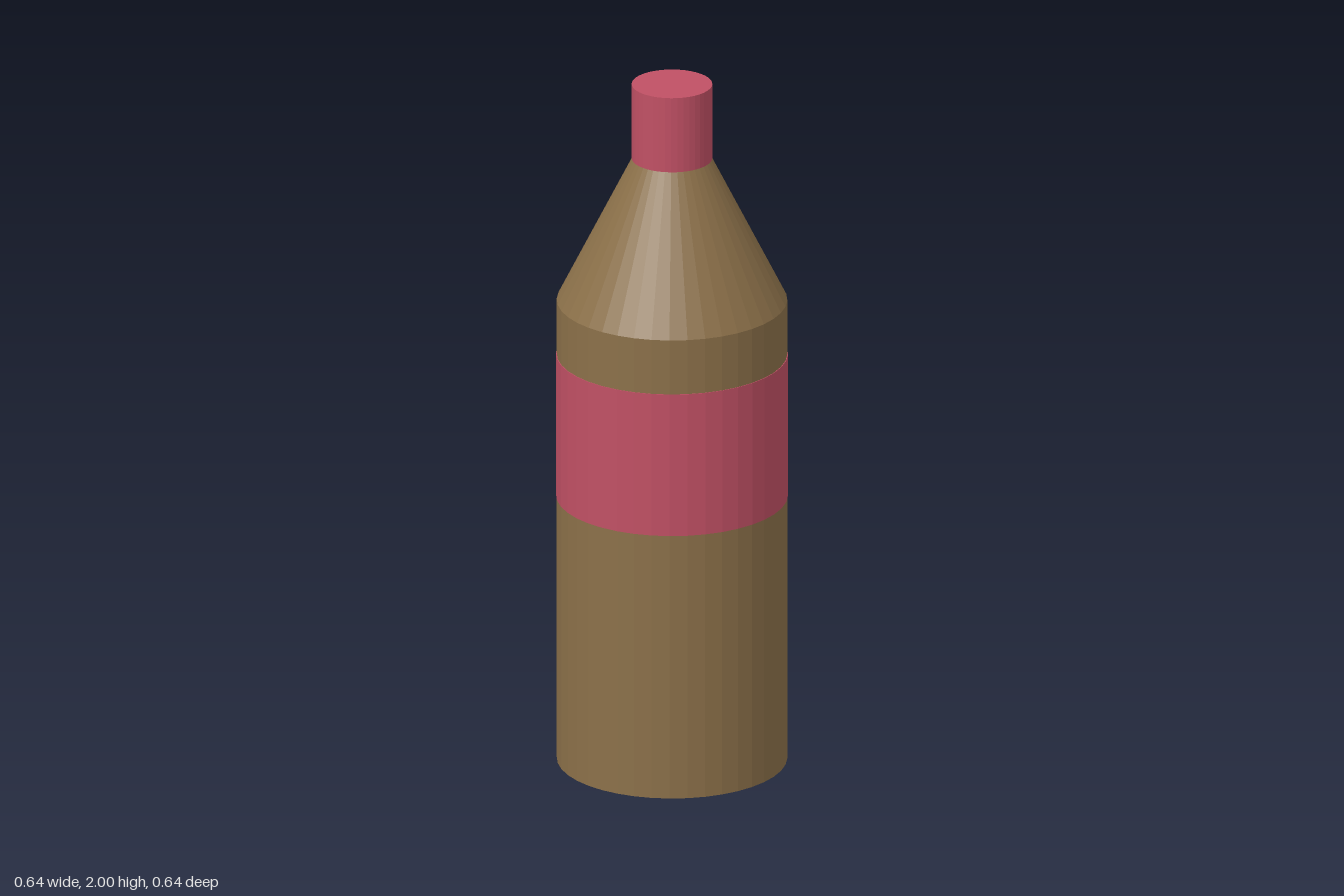
import * as THREE from 'three';

const SIDES = 40;

export function createModel() {
  const group = new THREE.Group();
  const brown = new THREE.MeshStandardMaterial({ color: 0x8b7049, flatShading: true });
  const red = new THREE.MeshStandardMaterial({ color: 0xc05064, flatShading: true });

  // A round section between two heights
  const section = (name, material, rBottom, rTop, y0, y1, open = false) => {
    const geometry = new THREE.CylinderGeometry(rTop, rBottom, y1 - y0, SIDES, 1, open);
    const mesh = new THREE.Mesh(geometry, material);
    mesh.name = name;
    mesh.position.y = (y0 + y1) / 2;
    group.add(mesh);
  };

  section('body', brown, 0.32, 0.32, 0, 1.36);
  section('shoulder', brown, 0.32, 0.11, 1.36, 1.78);
  section('label', red, 0.322, 0.322, 0.78, 1.2);
  section('cap', red, 0.112, 0.112, 1.78, 2);

  return group;
}
